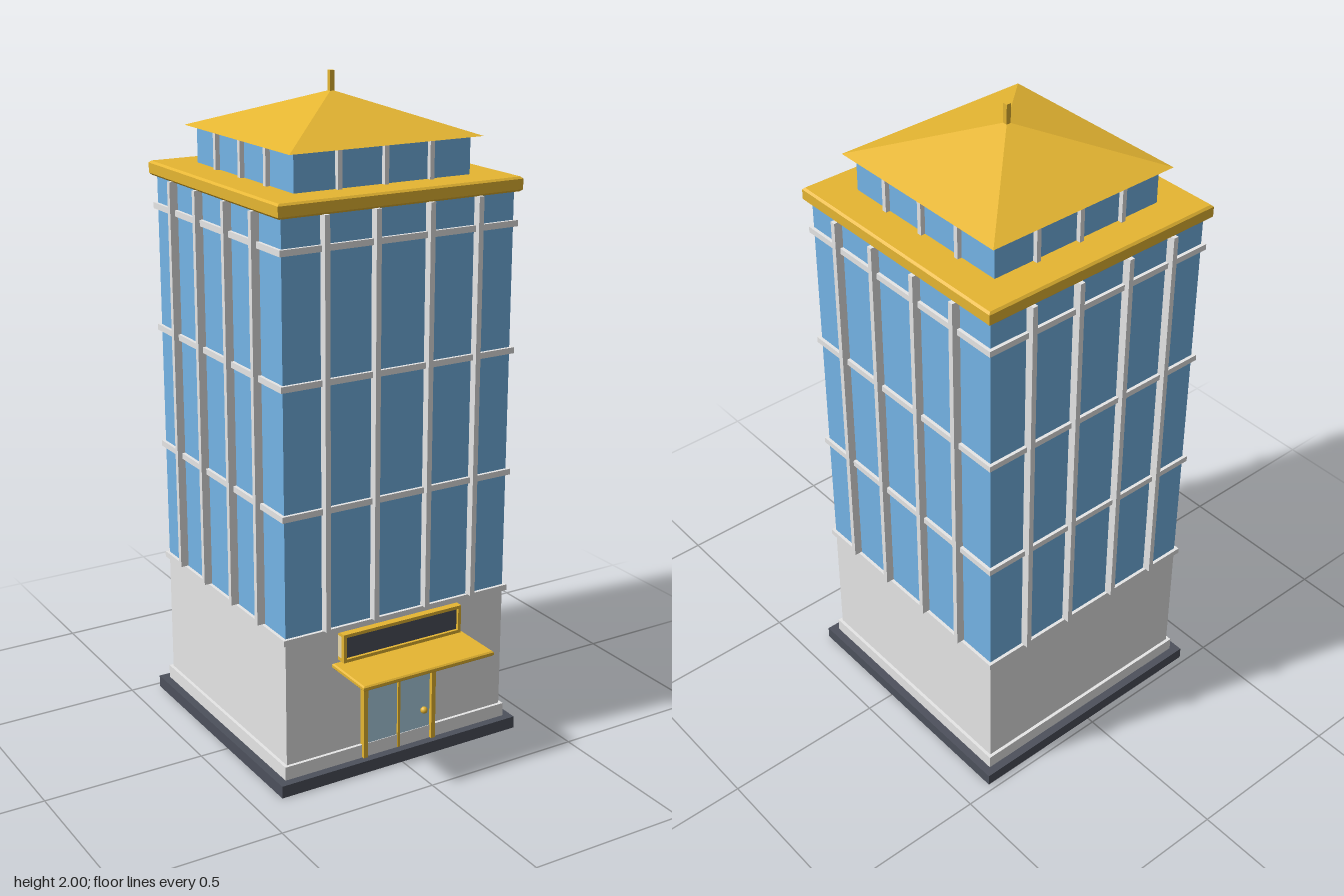
import * as THREE from 'three';

const mat = (name, color) => {
  const m = new THREE.MeshStandardMaterial({ color });
  m.name = name;
  return m;
};

export function createModel() {
  const root = new THREE.Group();
  root.name = 'officeTower';
  const gold = mat('gold', 0xe6b632);
  const stone = mat('paleStone', 0xe6e6e6);
  const glass = mat('windowGlass', 0x74b4e6);
  const doorGlass = mat('doorGlass', 0xafd2e6);
  const dark = mat('darkSlate', 0x4d515c);
  const cream = mat('warmCream', 0xf2e2b4);

  const add = (parent, name, geometry, material, pos) => {
    const mesh = new THREE.Mesh(geometry, material);
    mesh.name = name;
    mesh.position.set(...pos);
    parent.add(mesh);
  };
  const box = (parent, name, material, size, pos) =>
    add(parent, name, new THREE.BoxGeometry(...size), material, pos);
  // Flat plate with chamfered edges
  const chamferedPlate = (parent, name, material, [w, h, d], c, pos) => {
    const x = w / 2 - c, z = d / 2 - c;
    const shape = new THREE.Shape([[-x, -z], [x, -z], [x, z], [-x, z]].map(p => new THREE.Vector2(...p)));
    const geo = new THREE.ExtrudeGeometry(shape, {
      depth: h - 2 * c, bevelThickness: c, bevelSize: c, bevelSegments: 1,
    });
    geo.translate(0, 0, c - h / 2);
    geo.rotateX(-Math.PI / 2);
    add(parent, name, geo, material, pos);
  };
  // Square slab centred on the tower axis, from y0 to y1
  const slab = (parent, name, material, half, y0, y1) =>
    box(parent, name, material, [half * 2, y1 - y0, half * 2], [0, (y0 + y1) / 2, 0]);

  // Tower, set back to leave room for the canopy
  const tower = new THREE.Group();
  tower.name = 'tower';
  tower.position.z = -0.07;
  root.add(tower);

  slab(tower, 'base', dark, 0.41, 0, 0.038);
  slab(tower, 'skirting', stone, 0.385, 0.038, 0.08);
  slab(tower, 'groundFloor', stone, 0.375, 0.08, 0.47);
  slab(tower, 'glassStoreys', glass, 0.375, 0.47, 1.68);
  for (const y of [0.47, 0.842, 1.215, 1.588])
    slab(tower, 'floorBand', stone, 0.385, y - 0.009, y + 0.009);
  chamferedPlate(tower, 'cornice', gold, [0.786, 0.042, 0.786], 0.006, [0, 1.7, 0]);
  slab(tower, 'penthouse', glass, 0.285, 1.72, 1.83);

  // Mullions, the same set on each of the four sides
  for (let i = 0; i < 4; i++) {
    const side = new THREE.Group();
    side.name = 'sideMullions';
    side.rotation.y = (i * Math.PI) / 2;
    tower.add(side);
    for (const x of [-0.248, -0.087, 0.087, 0.248])
      box(side, 'mullion', stone, [0.016, 1.2, 0.025], [x, 1.08, 0.3875]);
    for (const x of [-0.149, 0, 0.149])
      box(side, 'penthouseMullion', stone, [0.014, 0.11, 0.015], [x, 1.775, 0.2915]);
  }

  // Pyramid roof and spire
  const roofGeo = new THREE.ConeGeometry(0.312 * Math.SQRT2, 0.115, 4).toNonIndexed();
  roofGeo.rotateY(Math.PI / 4);
  roofGeo.computeVertexNormals();
  add(tower, 'roof', roofGeo, gold, [0, 1.8875, 0]);
  box(tower, 'spire', gold, [0.014, 0.07, 0.014], [0, 1.965, 0]);

  // Entrance doors
  const door = new THREE.Group();
  door.name = 'entrance';
  root.add(door);
  box(door, 'doorGlass', doorGlass, [0.23, 0.24, 0.008], [0, 0.2, 0.309]);
  for (const x of [-0.119, 0.119])
    box(door, 'doorPost', gold, [0.014, 0.29, 0.02], [x, 0.185, 0.315]);
  box(door, 'doorLintel', gold, [0.252, 0.014, 0.02], [0, 0.323, 0.315]);
  box(door, 'doorDivider', gold, [0.008, 0.28, 0.014], [0, 0.18, 0.312]);
  add(door, 'doorKnob', new THREE.SphereGeometry(0.011, 16, 12), gold, [0.09, 0.137, 0.317]);

  // Canopy and framed panel above it
  chamferedPlate(root, 'canopy', gold, [0.446, 0.016, 0.175], 0.004, [0, 0.358, 0.3925]);
  const sign = new THREE.Group();
  sign.name = 'signPanel';
  root.add(sign);
  box(sign, 'backing', cream, [0.404, 0.07, 0.02], [0, 0.418, 0.315]);
  box(sign, 'panel', dark, [0.386, 0.07, 0.004], [0, 0.418, 0.327]);
  for (const y of [0.379, 0.457])
    box(sign, 'frameRail', gold, [0.406, 0.01, 0.033], [0, y, 0.3215]);
  for (const x of [-0.198, 0.198])
    box(sign, 'frameEnd', gold, [0.01, 0.068, 0.013], [x, 0.418, 0.3315]);

  return root;
}
